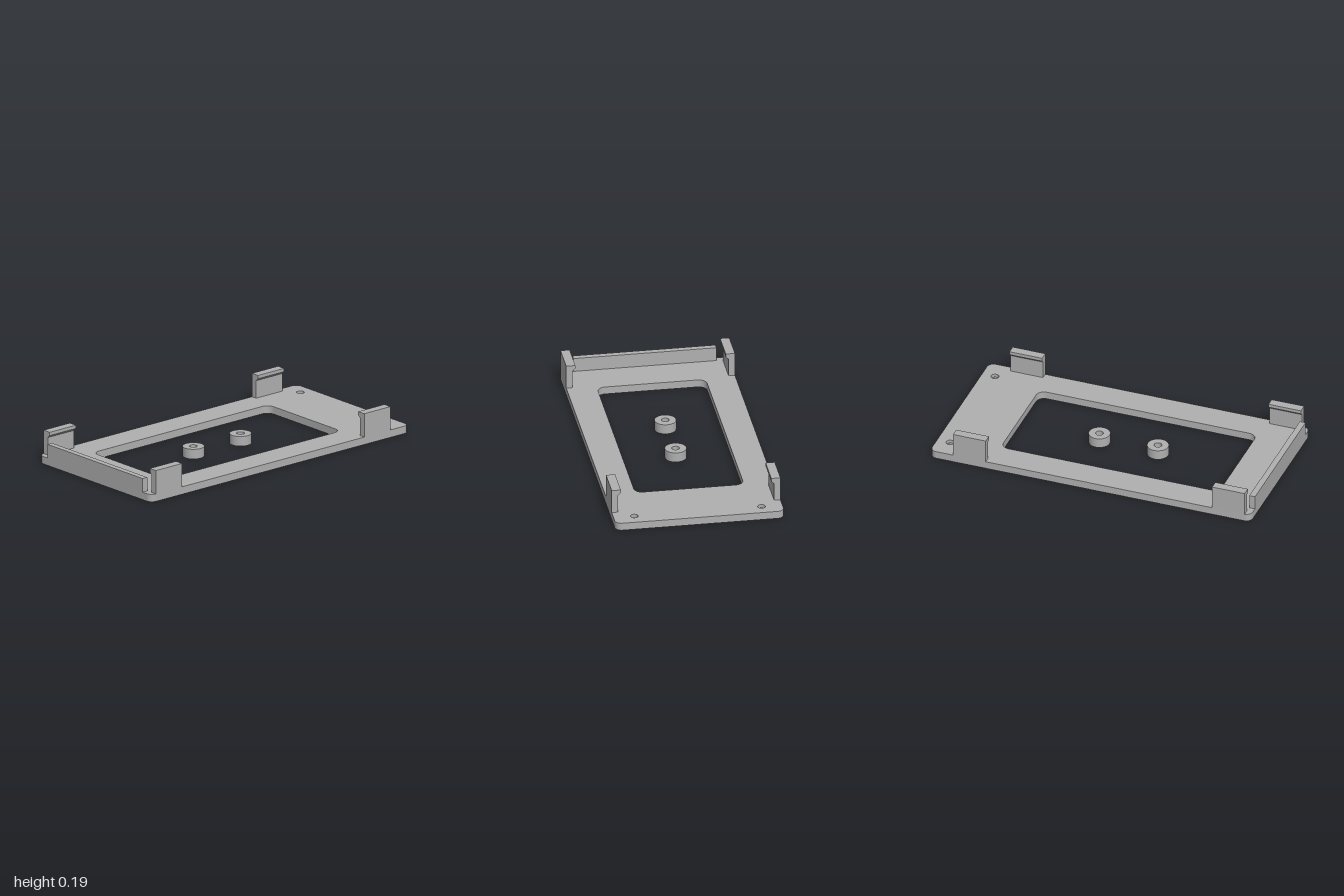
import * as THREE from 'three';
import { toCreasedNormals } from 'three/addons/utils/BufferGeometryUtils.js';

const grey = new THREE.MeshStandardMaterial({ color: 0xb0b0b0 });
grey.name = 'grey plastic';

// Rounded rectangle traced on any Shape or Path
function roundedRect(path, x0, x1, h, r) {
  path.moveTo(x0 + r, -h);
  path.lineTo(x1 - r, -h);
  path.absarc(x1 - r, -h + r, r, -Math.PI / 2, 0);
  path.absarc(x1 - r, h - r, r, 0, Math.PI / 2);
  path.absarc(x0 + r, h - r, r, Math.PI / 2, Math.PI);
  path.absarc(x0 + r, -h + r, r, Math.PI, Math.PI * 1.5);
  return path;
}

function circleHole(x, y, r) {
  return new THREE.Path().absarc(x, y, r, 0, Math.PI * 2, true);
}

function hexHole(x, y, r) {
  const points = [];
  for (let i = 0; i < 6; i++) {
    const a = (i * Math.PI) / 3;
    points.push(new THREE.Vector2(x + r * Math.cos(a), y + r * Math.sin(a)));
  }
  return new THREE.Path(points);
}

// Extrudes a plan outline upward from y0 to y1
function slab(shape, y0, y1) {
  const geometry = new THREE.ExtrudeGeometry(shape, { depth: y1 - y0, bevelEnabled: false, curveSegments: 16 });
  geometry.rotateX(-Math.PI / 2).translate(0, y0, 0);
  return toCreasedNormals(geometry, 0.6);
}

export function createModel() {
  const group = new THREE.Group();
  const add = (name, geometry) => {
    const mesh = new THREE.Mesh(geometry, grey);
    mesh.name = name;
    group.add(mesh);
    return mesh;
  };

  // Frame plate: lower layer has nut pockets, upper layer has screw holes
  const plateTop = 0.046, pocketTop = 0.025;
  const plate = (makeHole, y0, y1) => {
    const shape = roundedRect(new THREE.Shape(), -1, 1, 0.5, 0.04);
    shape.holes.push(roundedRect(new THREE.Path(), -0.737, 0.625, 0.323, 0.05));
    for (const z of [-0.377, 0.377]) shape.holes.push(makeHole(0.92, z));
    return slab(shape, y0, y1);
  };
  add('lower plate', plate((x, z) => hexHole(x, z, 0.04), 0, pocketTop));
  add('upper plate', plate((x, z) => circleHole(x, z, 0.023), pocketTop, plateTop));

  // End wall
  const wall = add('end wall', new THREE.BoxGeometry(0.036, 0.13 - plateTop, 0.848));
  wall.position.set(-0.982, (0.13 + plateTop) / 2, 0);

  // Hooked clips along both long sides
  const profile = [[0.5, plateTop], [0.5, 0.19], [0.446, 0.19], [0.446, 0.17], [0.462, 0.154], [0.462, plateTop]];
  for (const side of [-1, 1]) {
    for (const x1 of [-0.76, 0.855]) {
      const shape = new THREE.Shape(profile.map(([z, y]) => new THREE.Vector2(side * z, y)));
      const geometry = new THREE.ExtrudeGeometry(shape, { depth: 0.203, bevelEnabled: false });
      geometry.rotateY(-Math.PI / 2).translate(x1, 0, 0);
      add(side > 0 ? 'front clip' : 'back clip', geometry);
    }
  }

  // Loose spacer rings inside the opening
  for (const x of [-0.237, 0.128]) {
    const ring = new THREE.Shape().absarc(x, 0, 0.064, 0, Math.PI * 2);
    ring.holes.push(circleHole(x, 0, 0.023));
    add('spacer ring', slab(ring, 0, 0.06));
  }

  return group;
}
